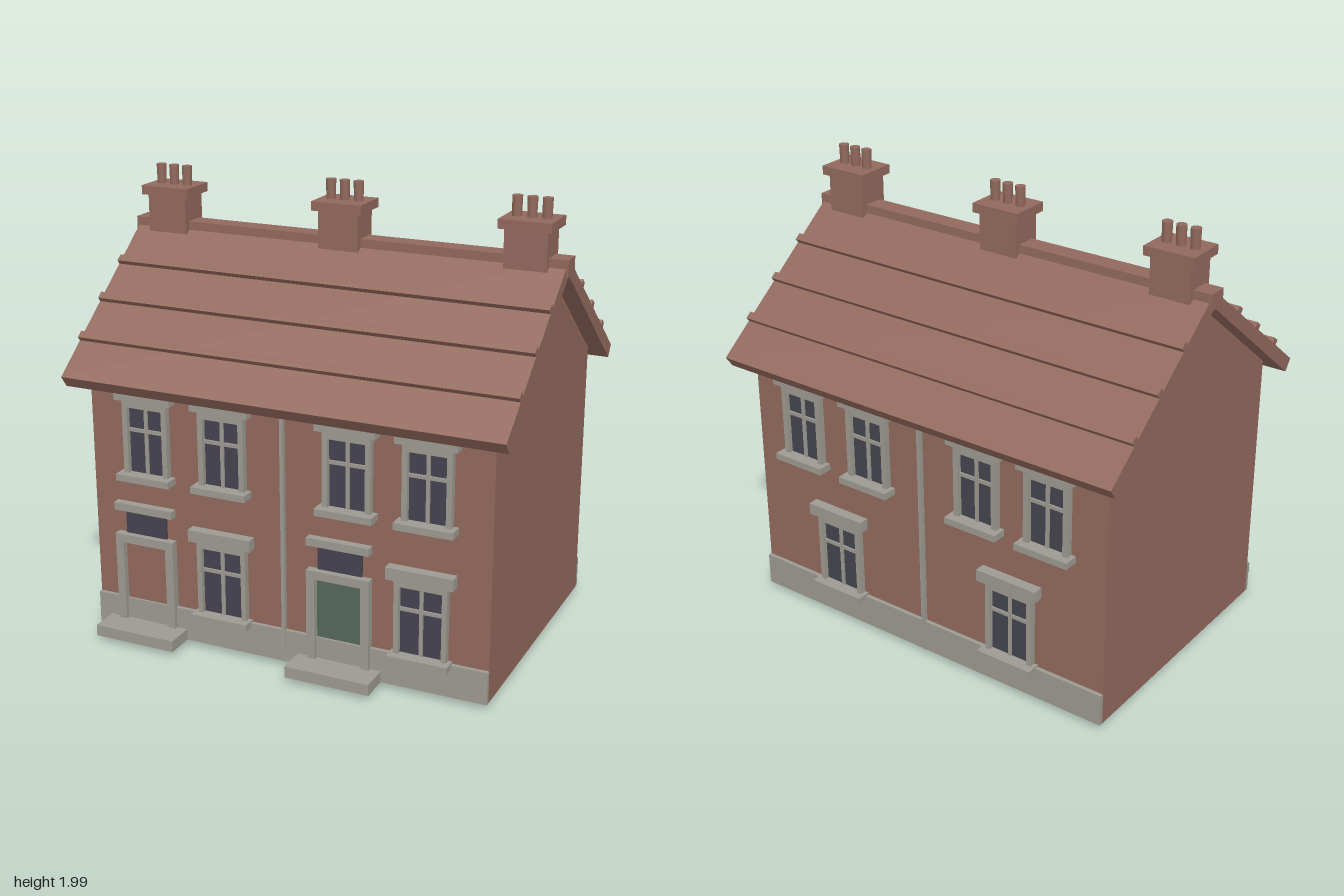
import * as THREE from 'three';

const mat = (name, color, extra) => {
  const m = new THREE.MeshStandardMaterial({ color });
  m.name = name;
  return m;
};

export function createModel() {
  const brick = mat('brick', 0x92695d);
  const stone = mat('stone', 0x9c9a91);
  const glass = mat('dark glass', 0x454450);
  const green = mat('green paint', 0x56675b);

  const house = new THREE.Group();
  house.name = 'house';
  const ZC = -0.018;   // middle of the house depth
  const HALF = 0.606;  // half depth of the walls

  const add = (parent, name, geo, material) => {
    const mesh = new THREE.Mesh(geo, material);
    mesh.name = name;
    parent.add(mesh);
    return mesh;
  };
  // Box given by its limits
  const box = (parent, name, material, x0, x1, y0, y1, z0, z1) => {
    const mesh = add(parent, name, new THREE.BoxGeometry(x1 - x0, y1 - y0, z1 - z0), material);
    mesh.position.set((x0 + x1) / 2, (y0 + y1) / 2, (z0 + z1) / 2);
    return mesh;
  };
  // Cross-section in (z, y), extruded along x
  const prism = (name, points, length) => {
    const shape = new THREE.Shape(points.map(([u, v]) => new THREE.Vector2(u, v)));
    const geo = new THREE.ExtrudeGeometry(shape, { depth: length, bevelEnabled: false });
    geo.translate(0, 0, -length / 2).rotateY(Math.PI / 2);
    const mesh = add(house, name, geo, brick);
    mesh.position.z = ZC;
    return mesh;
  };

  // Walls with gables, and the roof slabs
  prism('walls', [[-HALF, 0.025], [HALF, 0.025], [HALF, 1.2], [0, 1.676], [-HALF, 1.2]], 1.83);
  prism('roof', [[-0.68, 1.14], [0, 1.675], [0.68, 1.14], [0.716, 1.19], [0, 1.745], [-0.716, 1.19]], 1.98);
  box(house, 'ridge', brick, -1, 1, 1.675, 1.748, ZC - 0.045, ZC + 0.045);

  // Raised tile courses on both slopes
  const slope = Math.atan2(0.555, 0.716);
  for (const side of [-1, 1]) {
    for (const u of [0.213, 0.38, 0.55]) {
      const course = add(house, 'tileCourse', new THREE.BoxGeometry(1.98, 0.04, 0.034), brick);
      course.position.set(0, 1.745 - u * 0.775 + 0.004, ZC + side * u);
      course.rotation.x = side * slope;
    }
  }

  // Chimneys with three pots each
  for (const x of [-0.827, 0, 0.827]) {
    const chimney = new THREE.Group();
    chimney.name = 'chimney';
    chimney.position.set(x, 0, ZC);
    house.add(chimney);
    box(chimney, 'stack', brick, -0.092, 0.092, 1.695, 1.862, -0.073, 0.073);
    box(chimney, 'cap', brick, -0.114, 0.114, 1.86, 1.9, -0.092, 0.092);
    for (const dx of [-0.064, 0, 0.064]) {
      const pot = add(chimney, 'pot', new THREE.CylinderGeometry(0.022, 0.02, 0.09, 16), brick);
      pot.position.set(dx, 1.94, 0);
    }
  }

  // Window on a wall plane at z = 0; sizes are half widths
  const addWindow = (wall, x, s) => {
    const g = new THREE.Group();
    g.name = 'window';
    g.position.x = x;
    wall.add(g);
    box(g, 'lintel', stone, -s.lintel, s.lintel, s.head, s.top, 0, 0.047);
    box(g, 'sill', stone, -s.sill, s.sill, s.bottom - 0.03, s.bottom, 0, 0.066);
    box(g, 'frameHead', stone, -s.frame, s.frame, s.glassTop, s.head, 0, 0.03);
    for (const k of [-1, 1]) {
      const mid = k * (s.frame + s.pane) / 2, h = (s.frame - s.pane) / 2;
      box(g, 'frameSide', stone, mid - h, mid + h, s.bottom, s.glassTop, 0, 0.03);
    }
    box(g, 'pane', glass, -s.pane, s.pane, s.bottom, s.glassTop, 0, 0.008);
    box(g, 'verticalBar', stone, -0.008, 0.008, s.bottom, s.glassTop, 0, 0.016);
    box(g, 'crossBar', stone, -s.pane, s.pane, s.bar - 0.008, s.bar + 0.008, 0, 0.016);
  };
  const upper = { lintel: 0.134, sill: 0.128, frame: 0.107, pane: 0.083, top: 1.138, head: 1.1, glassTop: 1.067, bottom: 0.772, bar: 0.965 };
  const lower = { lintel: 0.147, sill: 0.134, frame: 0.116, pane: 0.094, top: 0.564, head: 0.511, glassTop: 0.48, bottom: 0.18, bar: 0.378 };

  // Doorway with surround, transom light, hood and step
  const addDoor = (wall, x, paint) => {
    const g = new THREE.Group();
    g.name = 'doorway';
    g.position.x = x;
    wall.add(g);
    box(g, 'door', paint, -0.104, 0.104, 0.1, 0.442, 0, 0.008);
    box(g, 'transomLight', glass, -0.1, 0.1, 0.478, 0.59, 0, 0.009);
    box(g, 'hood', stone, -0.142, 0.142, 0.59, 0.625, 0, 0.036);
    box(g, 'doorHead', stone, -0.142, 0.142, 0.442, 0.48, 0, 0.036);
    box(g, 'leftJamb', stone, 0.104, 0.142, 0, 0.442, 0, 0.036);
    box(g, 'rightJamb', stone, -0.142, -0.104, 0, 0.442, 0, 0.036);
    box(g, 'step', stone, -0.191, 0.191, 0.025, 0.075, 0, 0.147);
  };

  // Front and back walls share plinth, drainpipe and upper windows
  const addWall = (name, z, turn) => {
    const wall = new THREE.Group();
    wall.name = name;
    wall.position.z = z;
    wall.rotation.y = turn;
    house.add(wall);
    box(wall, 'plinth', stone, -0.915, 0.915, 0.025, 0.17, 0, 0.018);
    box(wall, 'drainpipe', stone, -0.008, 0.008, 0.025, 1.18, 0, 0.021);
    for (const x of [-0.642, -0.278, 0.294, 0.642]) addWindow(wall, x, upper);
    return wall;
  };
  const front = addWall('frontWall', ZC + HALF, 0);
  for (const x of [-0.289, 0.622]) addWindow(front, x, lower);
  addDoor(front, -0.663, brick);
  addDoor(front, 0.257, green);

  const back = addWall('backWall', ZC - HALF, Math.PI);
  for (const x of [-0.46, 0.46]) addWindow(back, x, lower);

  return house;
}
